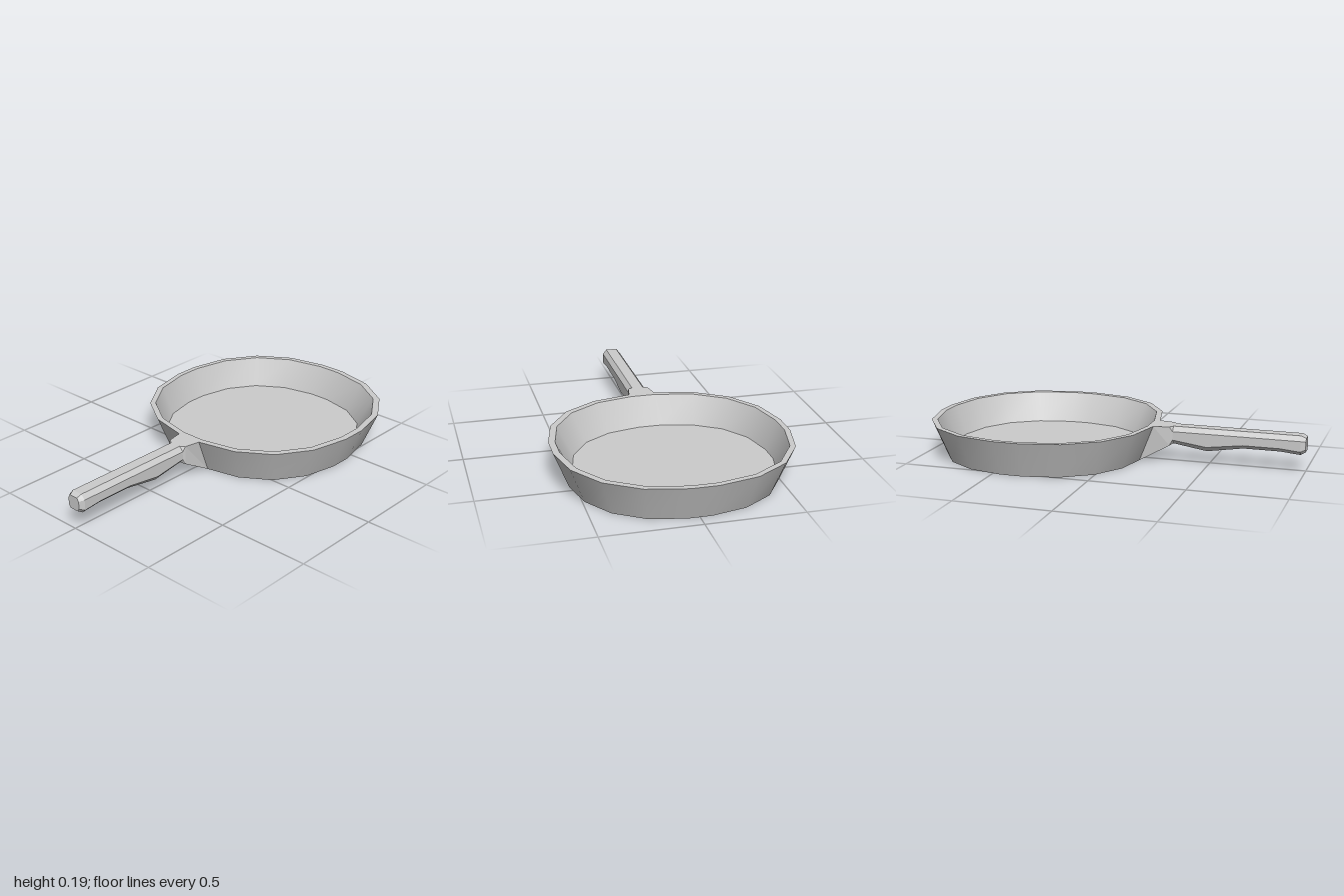
import * as THREE from 'three';
import { toCreasedNormals } from 'three/addons/utils/BufferGeometryUtils.js';

// Skin a list of closed rings; caps are fans around each end ring's centre.
function loft(rings, capStart, capEnd) {
  const pos = [];
  const tri = (...pts) => pts.forEach((p) => pos.push(p.x, p.y, p.z));
  const n = rings[0].length;
  const centre = (ring) => ring.reduce((s, p) => s.add(p), new THREE.Vector3()).divideScalar(n);
  for (let r = 0; r < rings.length - 1; r++) {
    const lo = rings[r], hi = rings[r + 1];
    for (let i = 0; i < n; i++) {
      const j = (i + 1) % n;
      tri(lo[i], hi[i], lo[j]);
      tri(lo[j], hi[i], hi[j]);
    }
  }
  const first = rings[0], last = rings[rings.length - 1];
  const c0 = centre(first), c1 = centre(last);
  for (let i = 0; i < n; i++) {
    const j = (i + 1) % n;
    if (capStart) tri(c0, first[i], first[j]);
    if (capEnd) tri(c1, last[j], last[i]);
  }
  const geo = new THREE.BufferGeometry();
  geo.setAttribute('position', new THREE.Float32BufferAttribute(pos, 3));
  geo.computeVertexNormals();
  return geo;
}

const PAN_X = 0.395, HEIGHT = 0.19, RIM = 0.606, BASE = 0.53;

// Twenty-sided outline: one quadrant of corners, turned four times.
const quadrant = [[0.606, 0.07], [0.56, 0.275], [0.447, 0.447], [0.275, 0.56], [0.07, 0.606]];
const outline = [];
for (let q = 0; q < 4; q++) {
  for (const [x, z] of quadrant) {
    const a = q * Math.PI / 2, c = Math.round(Math.cos(a)), s = Math.round(Math.sin(a));
    outline.push([x * c - z * s, x * s + z * c]);
  }
}

function panGeometry() {
  // radius, height, z offset: base, outer rim, inner rim, cooking floor
  const profile = [[BASE, 0, 0], [RIM, HEIGHT, 0], [0.575, HEIGHT, -0.003], [0.508, 0.035, -0.017]];
  const rings = profile.map(([r, y, dz]) => outline.map(([x, z]) =>
    new THREE.Vector3(PAN_X + x * r / RIM, y, z * r / RIM + dz)));
  return toCreasedNormals(loft(rings, true, true), 0.6);
}

// Eight-point handle section: half width, flat half width, and four heights.
function section(xAt, w, flat, top, shoulder, low, bottom) {
  return [[w, low], [w, shoulder], [flat, top], [-flat, top],
    [-w, shoulder], [-w, low], [-flat, bottom], [flat, bottom]]
    .map(([z, y]) => new THREE.Vector3(xAt, y, z));
}

function gripGeometry() {
  const rings = [section(-1, 0.036, 0.024, 0.177, 0.16, 0.12, 0.105)];
  // x, side lower edge, underside
  for (const [x, low, bottom] of [[-0.975, 0.11, 0.09], [-0.87, 0.12, 0.1],
    [-0.68, 0.12, 0.1], [-0.49, 0.095, 0.07], [-0.31, 0.12, 0.098]]) {
    rings.push(section(x, 0.051, 0.03, HEIGHT, 0.165, low, bottom));
  }
  // chamfers run out into the square neck
  rings.push(section(-0.295, 0.055, 0.054, HEIGHT, 0.188, 0.093, 0.09));
  return loft(rings, true, false);
}

function neckGeometry() {
  const quad = (pts) => pts.map(([x, y, z]) => new THREE.Vector3(x, y, z));
  const rect = (xTop, xLow, yLow, wTop, wLow) => quad([
    [xLow, yLow, wLow], [xTop, HEIGHT, wTop], [xTop, HEIGHT, -wTop], [xLow, yLow, -wLow]]);
  const wallX = (r) => PAN_X - r;
  return loft([
    rect(-0.295, -0.295, 0.09, 0.055, 0.055),
    rect(wallX(RIM), wallX(BASE), 0, 0.07, 0.061),
  ], false, false);
}

export function createModel() {
  const group = new THREE.Group();
  const add = (name, geometry, flatShading) => {
    const material = new THREE.MeshStandardMaterial({ color: 0xcccccc, flatShading });
    const mesh = new THREE.Mesh(geometry, material);
    mesh.name = name;
    group.add(mesh);
  };
  add('pan', panGeometry(), false);
  add('handleNeck', neckGeometry(), true);
  add('handleGrip', gripGeometry(), true);
  return group;
}
